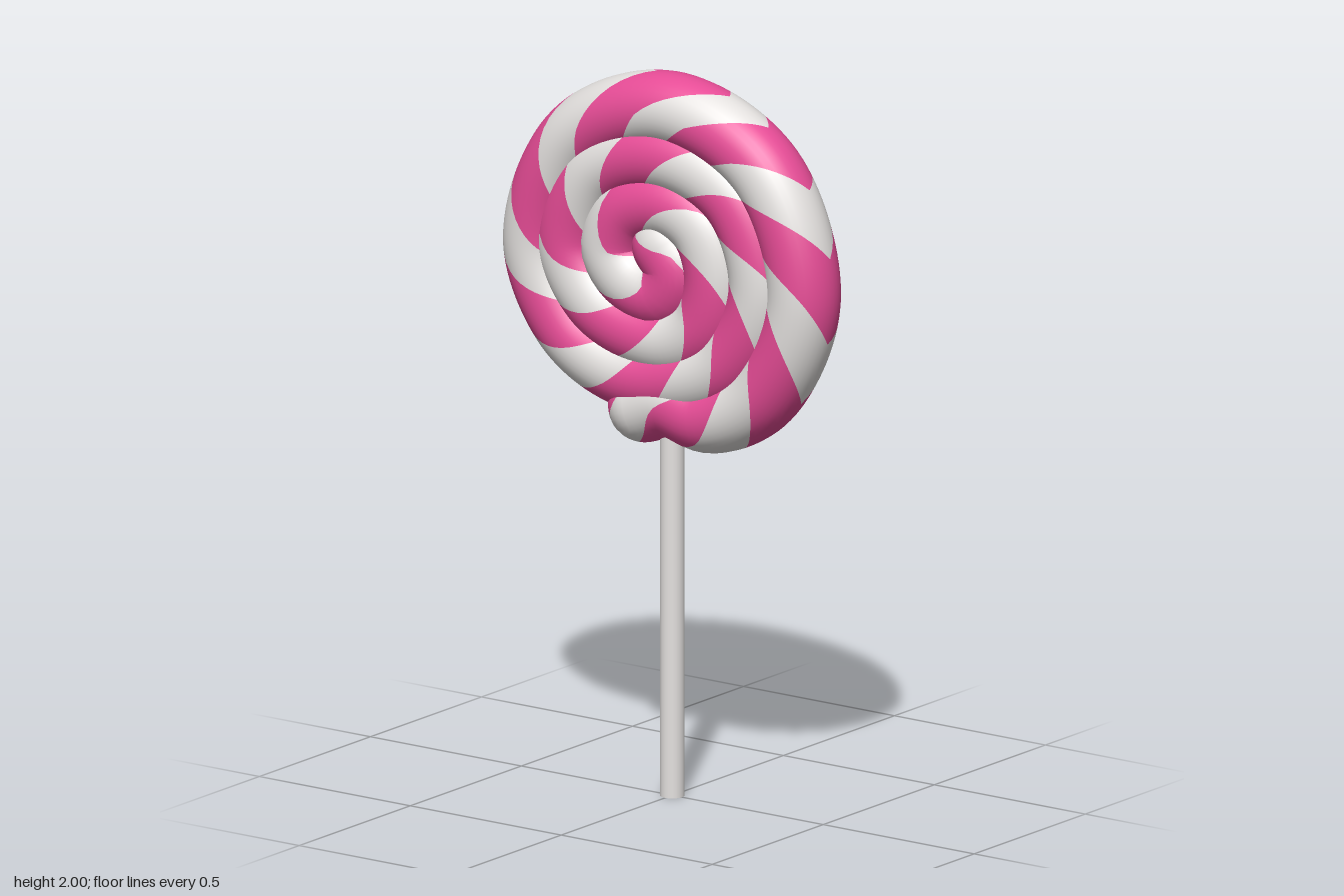
import * as THREE from 'three';

const R = 0.1;            // candy rope radius
const STRIPE = 0.357;     // length of one pink + white pair along the rope
const SLANT = 0.88;       // stripe pairs crossed from the outer to the inner side

// Centre line of the rope, from the loose end at the bottom to the middle
const PATH = [
  [-0.09, 1.065], [0, 1.092], [0.13, 1.07], [0.31, 1.165], [0.435, 1.45], [0.312, 1.775],
  [0, 1.9], [-0.31, 1.772], [-0.437, 1.47], [-0.335, 1.25], [-0.17, 1.158], [0, 1.155],
  [0.2, 1.235], [0.31, 1.45], [0.225, 1.68], [0, 1.77], [-0.23, 1.695], [-0.325, 1.48],
  [-0.22, 1.32], [0, 1.265], [0.12, 1.325], [0.16, 1.46], [0.115, 1.59], [0, 1.64],
  [-0.13, 1.6], [-0.18, 1.49], [-0.12, 1.41], [-0.02, 1.39], [0.03, 1.46], [-0.01, 1.52],
];

function ropeGeometry() {
  const curve = new THREE.CatmullRomCurve3(PATH.map(([x, y]) => new THREE.Vector3(x, y, 0)));
  curve.arcLengthDivisions = (PATH.length - 1) * 30;
  const total = curve.getLength();
  const lengthsAlong = curve.getLengths();
  const start = lengthsAlong[4 * 30] - 0.26 * STRIPE; // a pink stripe is centred on the right side
  const top = lengthsAlong[6 * 30];

  const positions = [], normals = [], indices = [];
  const geometry = new THREE.BufferGeometry();

  // Stripe position along the rope: pulled back over the top rim, stretched towards the middle
  function stripeLength(pairs, phi) {
    const s = start + STRIPE * pairs;
    const rim = Math.exp(-(((s - top) / 0.25) ** 2)) * (0.3 + 0.7 * Math.max(0, Math.cos(phi)));
    const middle = THREE.MathUtils.smoothstep(s, total - 1, total);
    return THREE.MathUtils.clamp(s - 0.09 * rim + 0.5 * STRIPE * middle, -R, total + R);
  }

  // Adds a surface point at length s and angle phi (0 outer, PI/2 front, PI inner); ends are domed
  function addPoint(s, phi) {
    const along = THREE.MathUtils.clamp(s, 0, total);
    const over = THREE.MathUtils.clamp((s - along) / R, -1, 1);
    const side = Math.sqrt(1 - over * over);
    const p = curve.getPointAt(along / total);
    const t = curve.getTangentAt(along / total);
    const n = new THREE.Vector3(t.y, -t.x, 0).multiplyScalar(Math.cos(phi) * side);
    n.z = Math.sin(phi) * side;
    n.addScaledVector(t, over);
    p.addScaledVector(n, R);
    positions.push(p.x, p.y, p.z);
    normals.push(n.x, n.y, n.z);
  }

  // One slanted band per stripe, alternating pink and white
  const US = 10, PS = 36;
  const first = Math.floor((-R - start) / STRIPE - SLANT) - 1;
  const last = Math.ceil((total + R - start) / STRIPE) + 1;
  for (let k = first; k <= last; k++) {
    for (let colour = 0; colour < 2; colour++) {
      const base = positions.length / 3, groupStart = indices.length;
      const lengths = [];
      for (let i = 0; i <= US; i++) {
        for (let j = 0; j <= PS; j++) {
          const phi = (j / PS) * Math.PI * 2;
          const wide = 0.14 * Math.max(0, -Math.sin(phi)); // pink is wider on the back
          const [from, to] = colour === 0 ? [-wide, 0.53] : [0.53, 1 - wide];
          const u = from + (to - from) * i / US;
          const slant = SLANT * (1 - Math.abs(1 - phi / Math.PI));
          const s = stripeLength(k + u + slant, phi);
          lengths.push(s);
          addPoint(s, phi);
        }
      }
      for (let i = 0; i < US; i++) {
        for (let j = 0; j < PS; j++) {
          const a = i * (PS + 1) + j, b = a + PS + 1;
          for (const tri of [[a, b, a + 1], [b, b + 1, a + 1]]) {
            const ends = tri.map((v) => lengths[v]);
            if (Math.max(...ends) - Math.min(...ends) < 1e-6 &&
                (ends[0] <= -R || ends[0] >= total + R)) continue;
            indices.push(...tri.map((v) => base + v));
          }
        }
      }
      if (indices.length > groupStart) {
        geometry.addGroup(groupStart, indices.length - groupStart, colour);
      }
    }
  }
  geometry.setAttribute('position', new THREE.Float32BufferAttribute(positions, 3));
  geometry.setAttribute('normal', new THREE.Float32BufferAttribute(normals, 3));
  geometry.setIndex(indices);
  return geometry;
}

export function createModel() {
  const pink = new THREE.MeshStandardMaterial({ color: 0xe64c96 });
  pink.name = 'candy pink';
  const white = new THREE.MeshStandardMaterial({ color: 0xe4e1df });
  white.name = 'candy white';

  const model = new THREE.Group();
  model.name = 'lollipop';

  // Coiled striped rope
  const candy = new THREE.Mesh(ropeGeometry(), [pink, white]);
  candy.name = 'candySpiral';
  model.add(candy);

  // Stick, sunk into the candy
  const stick = new THREE.Mesh(new THREE.CylinderGeometry(0.033, 0.033, 1.1, 20), white);
  stick.name = 'stick';
  stick.position.y = 0.55;
  model.add(stick);

  return model;
}
